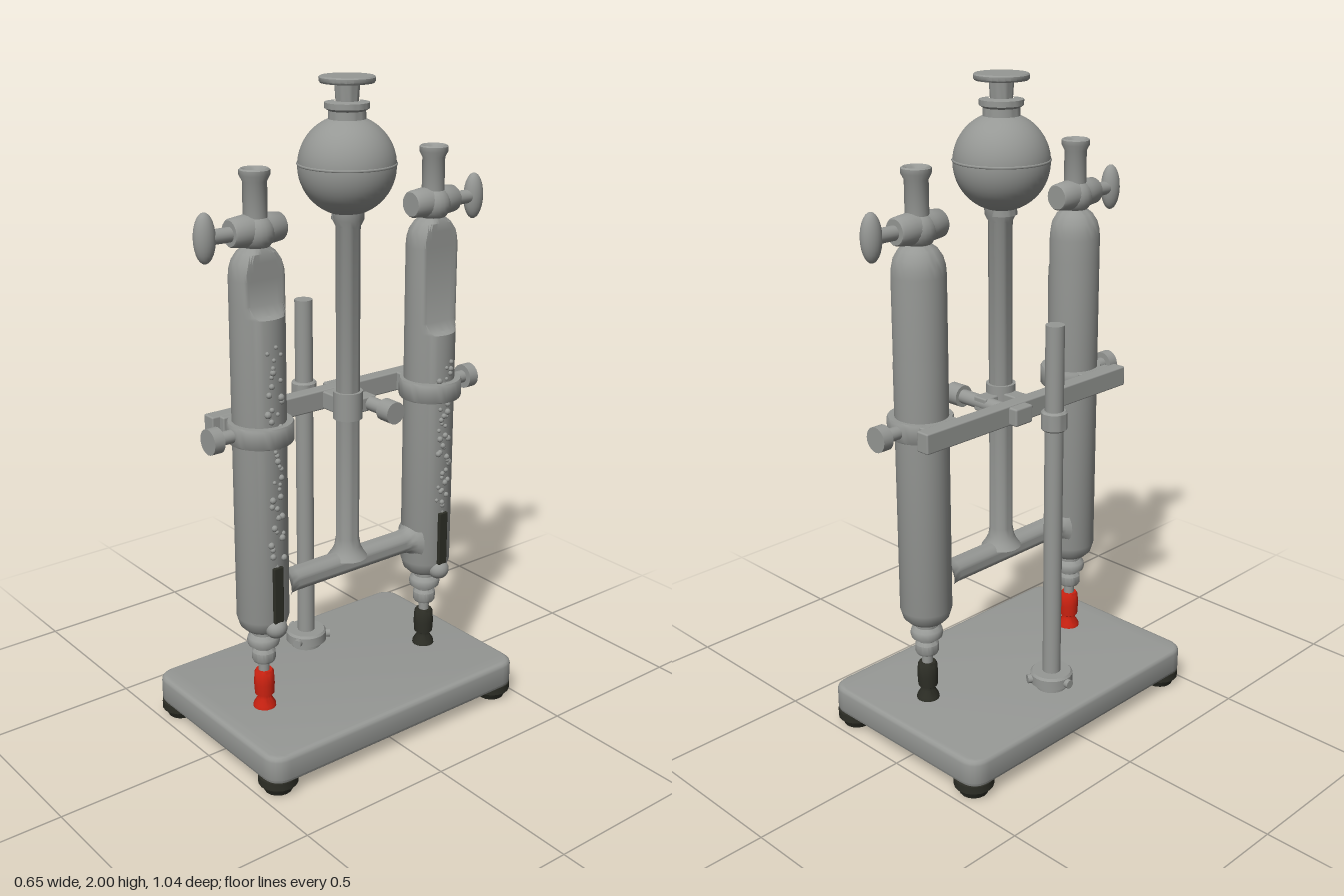
import * as THREE from 'three';
import { toCreasedNormals } from 'three/addons/utils/BufferGeometryUtils.js';
import { RoundedBoxGeometry } from 'three/addons/geometries/RoundedBoxGeometry.js';

const CX = 0.048;   // x of the glassware
const TZ = 0.322;   // z distance of the gas tubes
const CLAMP_Y = 1.035;

function mat(name, color) {
  const m = new THREE.MeshStandardMaterial({ color });
  m.name = name;
  return m;
}

export function createModel() {
  const root = new THREE.Group();
  root.name = 'electrolysisApparatus';
  const grey = mat('glassGrey', 0x969895);
  const dark = mat('darkRubber', 0x2d2e26);
  const red = mat('redTerminal', 0xcc2211);

  const add = (parent, name, geo, material, x = 0, y = 0, z = 0) => {
    const m = new THREE.Mesh(geo, material);
    m.name = name;
    m.position.set(x, y, z);
    parent.add(m);
    return m;
  };
  const group = (name) => {
    const g = new THREE.Group();
    g.name = name;
    root.add(g);
    return g;
  };
  // Turned part from [radius, height] pairs
  const turned = (pts, seg = 28) => toCreasedNormals(
    new THREE.LatheGeometry(pts.map(([r, y]) => new THREE.Vector2(r, y)), seg), 0.7);
  const rodX = (r, len) => new THREE.CylinderGeometry(r, r, len, 20).rotateZ(Math.PI / 2);
  const rodZ = (r, len) => new THREE.CylinderGeometry(r, r, len, 20).rotateX(Math.PI / 2);

  // Base slab with rounded corners and four feet
  const w = 0.31, d = 0.47, c = 0.045;
  const slab = new THREE.Shape();
  slab.moveTo(-w + c, -d);
  slab.lineTo(w - c, -d);
  slab.quadraticCurveTo(w, -d, w, -d + c);
  slab.lineTo(w, d - c);
  slab.quadraticCurveTo(w, d, w - c, d);
  slab.lineTo(-w + c, d);
  slab.quadraticCurveTo(-w, d, -w, d - c);
  slab.lineTo(-w, -d + c);
  slab.quadraticCurveTo(-w, -d, -w + c, -d);
  const slabGeo = new THREE.ExtrudeGeometry(slab, {
    depth: 0.06, bevelThickness: 0.015, bevelSize: 0.015, bevelSegments: 3, curveSegments: 6,
  }).rotateX(-Math.PI / 2);
  add(root, 'base', toCreasedNormals(slabGeo, 0.6), grey, 0, 0.06, 0);
  const footGeo = turned([[0, 0], [0.042, 0], [0.047, 0.012], [0.05, 0.02], [0.06, 0.026], [0.06, 0.05], [0, 0.05]], 16);
  for (const sx of [-1, 1]) for (const sz of [-1, 1]) {
    add(root, 'foot', footGeo, dark, sx * 0.265, 0, sz * 0.43);
  }

  // Support rod with its base collar and upper boss
  const stand = group('stand');
  stand.position.set(-0.18, 0, -0.008);
  add(stand, 'supportRod', new THREE.CylinderGeometry(0.028, 0.028, 1.18, 24), grey, 0, 0.725, 0);
  add(stand, 'rodCollar', turned([[0, 0.13], [0.048, 0.13], [0.048, 0.152], [0.066, 0.155], [0.066, 0.185], [0.06, 0.192], [0, 0.192]]), grey);
  for (let i = 0; i < 3; i++) {
    const screw = add(stand, 'collarScrew', rodX(0.014, 0.025), grey);
    const a = (i * 2 * Math.PI) / 3 + Math.PI;
    screw.position.set(0.066 * Math.cos(a), 0.17, 0.066 * Math.sin(a));
    screw.rotation.y = -a;
  }
  add(stand, 'rodBoss', turned([[0, 0.995], [0.034, 0.995], [0.039, 1.0], [0.039, 1.05], [0.034, 1.055], [0, 1.055]]), grey);

  // Clamp bar behind the tubes and the middle clamp
  const clamps = group('clamps');
  add(clamps, 'clampBar', new RoundedBoxGeometry(0.045, 0.062, 0.845, 2, 0.005), grey, -0.063, CLAMP_Y, 0);
  add(clamps, 'middleClampRing', new THREE.CylinderGeometry(0.045, 0.045, 0.085, 24), grey, CX, 1.042, 0);
  add(clamps, 'middleClampArm', new RoundedBoxGeometry(0.11, 0.055, 0.05, 2, 0.005), grey, -0.01, CLAMP_Y, 0);
  add(clamps, 'middleClampTie', new RoundedBoxGeometry(0.05, 0.045, 0.08, 2, 0.005), grey, CX, CLAMP_Y, -0.05);
  add(clamps, 'middleClampScrew', rodX(0.022, 0.27), grey, 0.04, CLAMP_Y, -0.07);
  add(clamps, 'middleClampKnob', rodX(0.034, 0.05), grey, 0.162, CLAMP_Y, -0.07);
  add(clamps, 'barBoss', new RoundedBoxGeometry(0.035, 0.055, 0.07, 2, 0.006), grey, -0.098, CLAMP_Y, -0.065);

  // Glass bridge and riser, flared where they meet
  const bridge = group('glassBridge');
  const bridgeGeo = turned([[0.065, -0.262], [0.05, -0.25], [0.04, -0.235], [0.037, -0.21],
    [0.037, 0.21], [0.04, 0.235], [0.05, 0.25], [0.065, 0.262]], 24).rotateX(Math.PI / 2);
  add(bridge, 'crossTube', bridgeGeo, grey, CX, 0.528, 0);
  add(bridge, 'riser', turned([[0.062, 0.545], [0.05, 0.562], [0.041, 0.58], [0.036, 0.61], [0.036, 1.58], [0.046, 1.6], [0.047, 1.63]], 24), grey, CX, 0, 0);

  // Reservoir bulb, neck and stopper
  const reservoir = group('reservoir');
  reservoir.position.set(0.042, 0, 0);
  const bulb = [];
  for (let i = 0; i <= 22; i++) {
    const a = -1.25 + (i / 22) * 2.43;
    bulb.push([0.141 * Math.cos(a), 1.752 + 0.141 * Math.sin(a)]);
  }
  add(reservoir, 'bulb', turned([[0.045, 1.6], ...bulb, [0.053, 1.905], [0.064, 1.912], [0.064, 1.928], [0.036, 1.932]], 40), grey);
  add(reservoir, 'bulbSeam', new THREE.TorusGeometry(0.14, 0.004, 6, 40).rotateX(Math.PI / 2), grey, 0, 1.758, 0);
  add(reservoir, 'stopper', turned([[0.032, 1.92], [0.036, 1.98], [0.076, 1.981], [0.08, 1.986], [0.08, 1.996], [0.076, 2.0], [0, 2.0]]), grey);

  // Seeded numbers for the gas bubbles
  let seed = 17;
  const rnd = () => (seed = (seed * 16807) % 2147483647) / 2147483647;
  const bubbleGeo = new THREE.SphereGeometry(1, 8, 6);

  // Gas tube, recessed on its +x side above the liquid level
  function gasTube(side, level) {
    const g = group(side > 0 ? 'frontGasTube' : 'rearGasTube');
    g.position.set(CX, 0, side * TZ);
    const R = 0.079;
    const profile = [[0.03, 0.395], [0.055, 0.405], [0.07, 0.42], [R, 0.45], [R, level], [R, level + 0.008],
      [R, level + 0.035], [R, 1.48], [0.077, 1.505], [0.07, 1.53], [0.055, 1.553], [0.038, 1.566], [0.032, 1.585], [0.032, 1.62]];
    const lathe = new THREE.LatheGeometry(profile.map(([r, y]) => new THREE.Vector2(r, y)), 48);
    const p = lathe.attributes.position;
    for (let i = 0; i < p.count; i++) {
      const limit = p.getY(i) > level + 0.03 ? 0.043 : p.getY(i) > level + 0.004 ? 0.06 : 1;
      p.setX(i, Math.min(p.getX(i), limit));
    }
    add(g, 'tubeBody', toCreasedNormals(lathe, 0.6), grey);

    // Stacked glass joint, terminal and electrode
    add(g, 'tubeJoint', turned([[0, 0.292], [0.032, 0.292], [0.036, 0.3], [0.036, 0.325], [0.028, 0.335], [0.03, 0.345],
      [0.047, 0.35], [0.05, 0.362], [0.047, 0.375], [0.035, 0.385], [0.035, 0.41]]), grey);
    add(g, 'terminalPin', new THREE.CylinderGeometry(0.017, 0.017, 0.06, 16), grey, 0, 0.275, 0);
    add(g, 'terminal', turned([[0, 0.13], [0.036, 0.13], [0.034, 0.145], [0.022, 0.165], [0.022, 0.175], [0.03, 0.18],
      [0.032, 0.215], [0.03, 0.252], [0.025, 0.26], [0, 0.26]], 16), side > 0 ? red : dark);
    const seat = add(g, 'electrodeSeat', new THREE.SphereGeometry(0.034, 20, 14), grey, 0.066, 0.428, 0);
    seat.scale.y = 0.95;
    add(g, 'electrode', new RoundedBoxGeometry(0.034, 0.18, 0.034, 2, 0.004), dark, 0.07, 0.54, 0);
    add(g, 'electrodeTip', new THREE.CylinderGeometry(0.005, 0.012, 0.025, 8), grey, 0.07, 0.641, 0);

    // Bubbles rising on the liquid
    const rise = side > 0 ? 0.66 : 0.48;
    for (let i = 0; i < 44; i++) {
      const dz = (rnd() - 0.5) * 0.05;
      const y = 0.65 + rise * ((i + rnd()) / 44);
      const s = 0.006 + rnd() * 0.005;
      add(g, 'bubble', bubbleGeo, grey, Math.sqrt(R * R - dz * dz) + 0.001, y, dz).scale.setScalar(s);
    }

    // Clamp ring and thumb screw
    add(g, 'clampRing', turned([[0.075, -0.03], [0.094, -0.03], [0.097, -0.025], [0.097, 0.025], [0.094, 0.03], [0.075, 0.03]], 36), grey, 0.006, CLAMP_Y, 0);
    add(g, 'clampArm', new RoundedBoxGeometry(0.06, 0.06, 0.13, 2, 0.005), grey, -0.1, CLAMP_Y, 0.01 * side);
    add(g, 'clampScrew', rodZ(0.02, 0.09), grey, 0, CLAMP_Y, side * 0.115);
    add(g, 'clampKnob', rodZ(0.038, 0.034), grey, 0, CLAMP_Y, side * 0.158);

    // Stopcock: barrel, key handle and open outlet
    const barrel = turned([[0, -0.085], [0.036, -0.085], [0.04, -0.08], [0.045, -0.035], [0.045, 0.035], [0.04, 0.08], [0.036, 0.085], [0, 0.085]], 20).rotateX(Math.PI / 2);
    add(g, 'stopcockBarrel', barrel, grey, -0.002, 1.612, 0);
    add(g, 'stopcockHub', new THREE.SphereGeometry(0.054, 20, 14), grey, 0, 1.605, 0);
    add(g, 'stopcockStem', rodZ(0.021, 0.07), grey, 0, 1.61, side * 0.112);
    const paddle = add(g, 'stopcockHandle', new THREE.SphereGeometry(1, 20, 14), grey, 0, 1.61, side * 0.165);
    paddle.scale.set(0.028, 0.07, 0.032);
    const outlet = turned([[0.034, 1.63], [0.034, 1.745], [0.043, 1.762], [0.043, 1.776], [0.038, 1.78],
      [0.03, 1.776], [0.014, 1.745], [0, 1.74]], 20);
    add(g, 'outlet', outlet, grey);
  }
  gasTube(1, 1.375);
  gasTube(-1, 1.215);

  return root;
}
